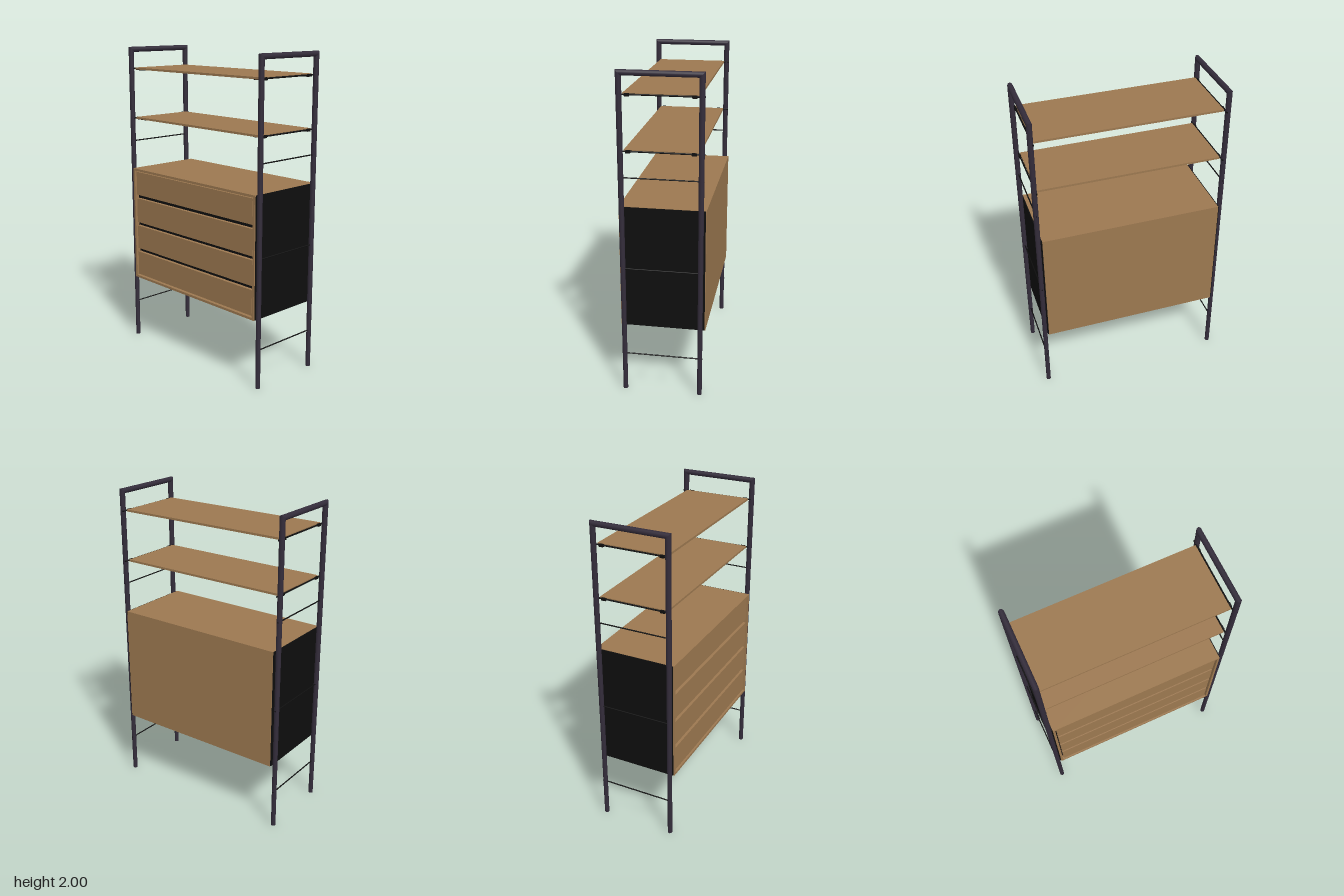
import * as THREE from 'three';

const wood = new THREE.MeshStandardMaterial({ color: 0x9c7850 });
wood.name = 'wood';
const steel = new THREE.MeshStandardMaterial({ color: 0x332c3a });
steel.name = 'dark steel';
const black = new THREE.MeshStandardMaterial({ color: 0x0e0e0e });
black.name = 'black';

const FX = 0.588, FZ = 0.233, TOP = 1.983, R = 0.017;

function add(parent, name, geometry, material, x = 0, y = 0, z = 0) {
  const mesh = new THREE.Mesh(geometry, material);
  mesh.name = name;
  mesh.position.set(x, y, z);
  parent.add(mesh);
  return mesh;
}

// box given by its min and max corners
function box(parent, name, material, [x0, y0, z0], [x1, y1, z1]) {
  return add(parent, name, new THREE.BoxGeometry(x1 - x0, y1 - y0, z1 - z0), material,
    (x0 + x1) / 2, (y0 + y1) / 2, (z0 + z1) / 2);
}

// thin rod running front to back
function rod(parent, name, x, y, z0, z1, r) {
  const g = new THREE.CylinderGeometry(r, r, z1 - z0, 8).rotateX(Math.PI / 2);
  return add(parent, name, g, black, x, y, (z0 + z1) / 2);
}

// upright whose upper end is cut at 45 degrees to meet the top bar
function postGeometry(side) {
  const g = new THREE.CylinderGeometry(R, 0.0145, TOP, 16).translate(0, TOP / 2, 0);
  const p = g.attributes.position;
  for (let i = 0; i < p.count; i++) {
    if (p.getY(i) > 1) p.setY(i, TOP + side * p.getZ(i));
  }
  return g;
}

// top bar with both ends mitred
function barGeometry() {
  const g = new THREE.CylinderGeometry(R, R, 2 * FZ, 16).rotateX(Math.PI / 2);
  const p = g.attributes.position;
  for (let i = 0; i < p.count; i++) p.setZ(i, Math.sign(p.getZ(i)) * (FZ + p.getY(i)));
  return g;
}

function createFrame(s) {
  const frame = new THREE.Group();
  frame.name = s > 0 ? 'leftFrame' : 'rightFrame';
  add(frame, 'frontPost', postGeometry(1), steel, s * FX, 0, FZ);
  add(frame, 'backPost', postGeometry(-1), steel, s * FX, 0, -FZ);
  add(frame, 'topBar', barGeometry(), steel, s * FX, TOP, 0);
  for (const y of [0.247, 0.815, 1.382]) rod(frame, 'crossRod', s * FX, y, -0.25, 0.235, 0.004);
  return frame;
}

function createShelf(y) {
  const shelf = new THREE.Group();
  shelf.name = 'shelf';
  box(shelf, 'shelfBoard', wood, [-0.569, y - 0.006, -0.218], [0.569, y + 0.007, 0.216]);
  for (const s of [-1, 1]) {
    rod(shelf, 'shelfRod', s * 0.576, y, -0.25, 0.235, 0.005);
    // clips under the corners, reaching out to the rod
    for (const z of [-0.19, 0.19]) {
      const clip = new THREE.BoxGeometry(0.075, 0.005, 0.022);
      add(shelf, 'shelfClip', clip, black, s * 0.535, y - 0.0085, z);
      add(shelf, 'clipHook', new THREE.BoxGeometry(0.012, 0.016, 0.028), black, s * 0.576, y - 0.002, z);
    }
  }
  return shelf;
}

function createCabinet() {
  const cabinet = new THREE.Group();
  cabinet.name = 'cabinet';
  const X = 0.568, Y0 = 0.435, Y1 = 1.2, B = -0.262, F = 0.255, T = 0.015;
  box(cabinet, 'cabinetTop', wood, [-X, Y1 - T, B], [X, Y1, F]);
  box(cabinet, 'cabinetBottom', wood, [-X, Y0, B], [X, Y0 + T, F]);
  box(cabinet, 'cabinetBack', wood, [-X, Y0 + T, B], [X, Y1 - T, B + T]);
  box(cabinet, 'darkInterior', black, [-X + T, Y0 + T, 0.215], [X - T, Y1 - T, 0.225]);
  for (const s of [-1, 1]) {
    const side = new THREE.BoxGeometry(T, Y1 - Y0 - 2 * T, F - B - T);
    add(cabinet, 'cabinetSide', side, wood, s * (X - T / 2), (Y0 + Y1) / 2, (F + B + T) / 2);
    const panel = new THREE.BoxGeometry(0.006, Y1 - Y0 - 0.004, 0.505);
    add(cabinet, 'sidePanel', panel, black, s * (X + 0.003), (Y0 + Y1) / 2, -0.005);
  }
  // four drawers with shadow gaps between them
  for (const [y0, y1] of [[0.458, 0.62], [0.645, 0.805], [0.829, 0.995], [1.02, 1.178]]) {
    box(cabinet, 'drawerFront', wood, [-0.544, y0, 0.22], [0.544, y1, 0.247]);
  }
  return cabinet;
}

export function createModel() {
  const model = new THREE.Group();
  model.name = 'shelvingUnit';
  for (const s of [-1, 1]) model.add(createFrame(s));
  for (const y of [1.535, 1.86]) model.add(createShelf(y));
  model.add(createCabinet());
  return model;
}
